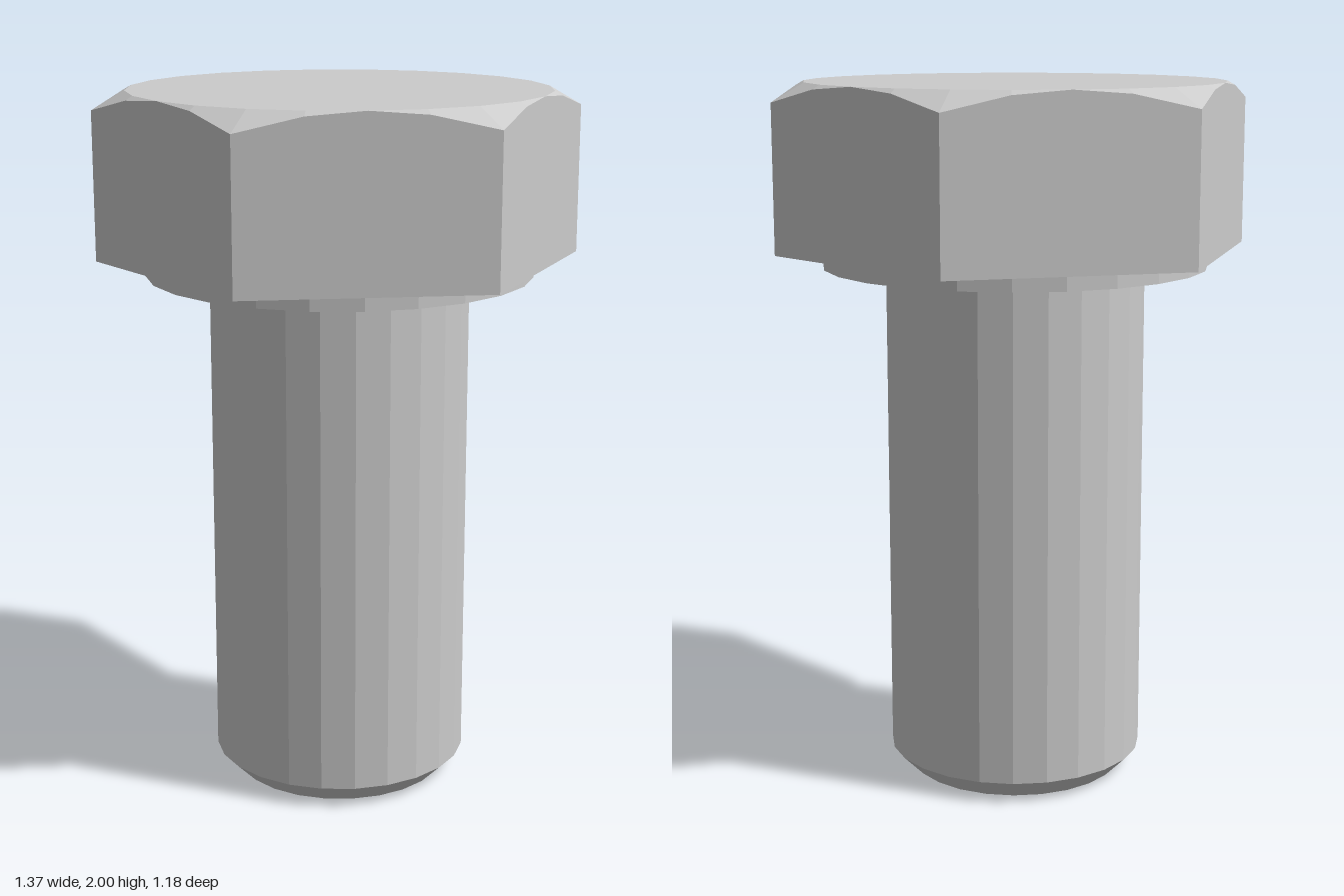
import * as THREE from 'three';

const SEGMENTS = 24;
const APOTHEM = 0.5915; // centre to flat of the hexagon
const HEAD_BASE = 1.53;
const HEAD_TOP = 2;

const material = new THREE.MeshStandardMaterial({ color: 0xcccccc, flatShading: true });

function addMesh(group, name, geometry) {
  const mesh = new THREE.Mesh(geometry, material);
  mesh.name = name;
  group.add(mesh);
}

// Revolved part from [radius, height] pairs, listed from the bottom up
function turned(profile) {
  return new THREE.LatheGeometry(profile.map(([r, y]) => new THREE.Vector2(r, y)), SEGMENTS);
}

// Distance to the hexagon outline, corners on the x axis
function hexRadius(angle) {
  const sector = Math.PI / 3;
  const local = ((angle % sector) + sector) % sector - sector / 2;
  return APOTHEM / Math.cos(local);
}

// Hexagonal prism whose top corners are cut by a 30 degree cone
function headGeometry() {
  const rings = [
    () => [0, HEAD_BASE],
    (a) => [hexRadius(a), HEAD_BASE],
    (a) => [hexRadius(a), HEAD_TOP - (hexRadius(a) - APOTHEM) * Math.tan(Math.PI / 6)],
    () => [APOTHEM, HEAD_TOP],
    () => [0, HEAD_TOP],
  ];
  const point = (ring, i) => {
    const angle = (i % SEGMENTS) * Math.PI * 2 / SEGMENTS;
    const [r, y] = rings[ring](angle);
    return new THREE.Vector3(r * Math.sin(angle + Math.PI / 2), y, r * Math.cos(angle + Math.PI / 2));
  };
  const positions = [];
  const addTriangle = (a, b, c) => {
    if (new THREE.Triangle(a, b, c).getArea() < 1e-7) return;
    for (const p of [a, b, c]) positions.push(p.x, p.y, p.z);
  };
  for (let ring = 0; ring < rings.length - 1; ring++) {
    for (let i = 0; i < SEGMENTS; i++) {
      const a = point(ring, i), b = point(ring, i + 1);
      const c = point(ring + 1, i + 1), d = point(ring + 1, i);
      addTriangle(a, b, c);
      addTriangle(a, c, d);
    }
  }
  const geometry = new THREE.BufferGeometry();
  geometry.setAttribute('position', new THREE.Float32BufferAttribute(positions, 3));
  geometry.computeVertexNormals();
  return geometry;
}

export function createModel() {
  const bolt = new THREE.Group();
  bolt.name = 'hexBolt';

  addMesh(bolt, 'head', headGeometry());

  // Bearing face under the head
  addMesh(bolt, 'washerFace', turned([[0.36, 1.485], [0.547, 1.485], [0.547, HEAD_BASE]]));

  // Shank with chamfered tip and a small fillet below the washer face
  const fillet = [];
  for (let i = 0; i <= 4; i++) {
    const t = i / 4 * Math.PI / 2;
    fillet.push([0.39 - 0.022 * Math.cos(t), 1.463 + 0.022 * Math.sin(t)]);
  }
  addMesh(bolt, 'shank', turned([[0, 0], [0.308, 0], [0.368, 0.06], ...fillet]));

  return bolt;
}
